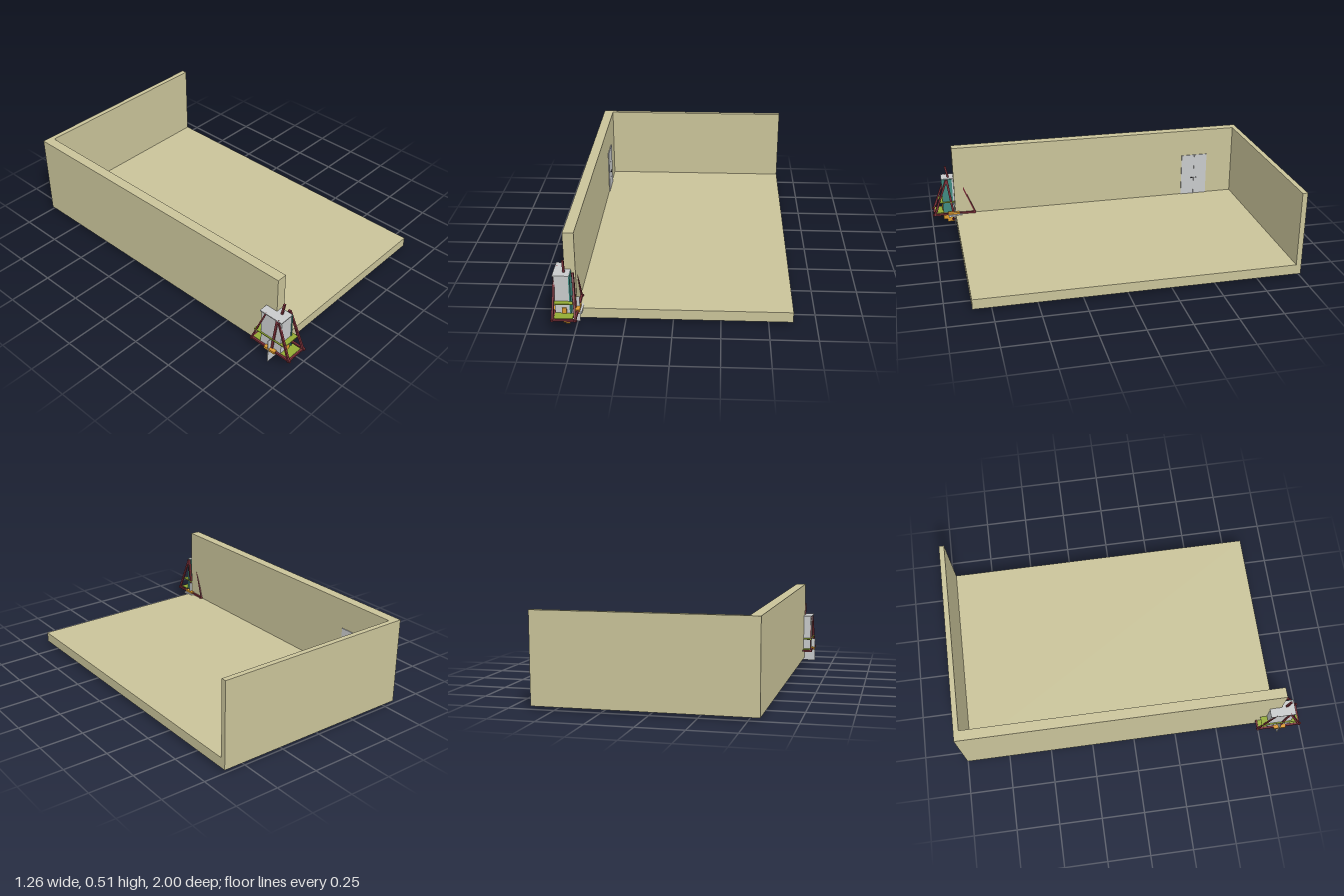
import * as THREE from 'three';

const mat = (name, color, extra = {}) => Object.assign(new THREE.MeshStandardMaterial({ color, ...extra }), { name });

export function createModel() {
  const model = new THREE.Group();
  model.name = 'roomCornerWithRig';
  const plaster = mat('sand plaster', 0xc9c399);
  const grey = mat('light grey', 0xc8cacb);
  const dark = mat('dark trim', 0x2c2c30);
  const maroon = mat('maroon steel', 0x7a2f38);
  const teal = mat('teal panel', 0x3f8a80);
  const green = mat('olive green', 0x93ab35);
  const orange = mat('orange', 0xdc9a2e);

  // Box given by its limits on each axis
  const block = (name, m, [x0, x1], [y0, y1], [z0, z1], parent = model) => {
    const mesh = new THREE.Mesh(new THREE.BoxGeometry(x1 - x0, y1 - y0, z1 - z0), m);
    mesh.position.set((x0 + x1) / 2, (y0 + y1) / 2, (z0 + z1) / 2);
    mesh.name = name;
    parent.add(mesh);
    return mesh;
  };
  // Square bar between two points
  const bar = (name, m, a, b, w, parent) => {
    const p = new THREE.Vector3(...a), q = new THREE.Vector3(...b);
    const mesh = new THREE.Mesh(new THREE.BoxGeometry(w, w, p.distanceTo(q)), m);
    mesh.position.copy(p).add(q).multiplyScalar(0.5);
    mesh.lookAt(q);
    mesh.name = name;
    parent.add(mesh);
    return mesh;
  };

  // Room: side wall and floor profile run along z, closed by the back wall
  const profile = new THREE.Shape([
    [-0.56, 0.017], [0.627, 0.017], [0.627, 0.075], [-0.502, 0.075], [-0.502, 0.513], [-0.56, 0.513],
  ].map(([x, y]) => new THREE.Vector2(x, y)));
  const shell = new THREE.Mesh(new THREE.ExtrudeGeometry(profile, { depth: 1.825, bevelEnabled: false }), plaster);
  shell.position.z = -0.97;
  shell.name = 'floorAndSideWall';
  model.add(shell);
  block('backWall', plaster, [-0.56, 0.627], [0.017, 0.513], [-1, -0.97]);

  // Double door on the inner face of the side wall
  const door = new THREE.Group();
  door.name = 'door';
  model.add(door);
  for (const s of [-1, 1]) {
    const z = -0.715 + s * 0.0425;
    block('doorLeaf', grey, [-0.502, -0.497], [0.075, 0.345], [z - 0.042, z + 0.042], door);
    const h = -0.715 + s * 0.013;
    block('doorHandle', dark, [-0.497, -0.491], [0.185, 0.189], [h - 0.006, h + 0.006], door);
  }

  // Rig at the open end of the side wall
  const rig = new THREE.Group();
  rig.name = 'rig';
  model.add(rig);
  block('cabinet', grey, [-0.605, -0.529], [0.08, 0.303], [0.79, 0.926], rig);
  block('cabinetSidePanel', teal, [-0.529, -0.522], [0.08, 0.303], [0.865, 0.93], rig);
  block('cabinetLid', grey, [-0.612, -0.526], [0.3, 0.306], [0.785, 0.93], rig);
  bar('topMast', maroon, [-0.557, 0.3, 0.885], [-0.557, 0.38, 0.9], 0.011, rig);

  // Mirrored frame sides: base rail, sloping legs and upright
  for (const [xb, xt] of [[-0.612, -0.604], [-0.495, -0.51]]) {
    bar('baseRail', maroon, [xb, 0.08, 0.728], [xb, 0.08, 0.998], 0.011, rig);
    bar('frontLeg', maroon, [xb, 0.08, 0.985], [xt, 0.305, 0.9], 0.011, rig);
    bar('frontBrace', maroon, [xb, 0.1, 0.97], [xt, 0.2, 0.94], 0.006, rig);
    bar('rearLeg', maroon, [xb, 0.08, 0.732], [xt, 0.305, 0.822], 0.008, rig);
    bar('upright', maroon, [xt, 0.08, 0.868], [xt, 0.305, 0.897], 0.013, rig);
    block('railClamp', orange, [xb - 0.015, xb + 0.012], [0.076, 0.09], [0.83, 0.9], rig);
  }
  for (const z of [0.735, 0.865, 0.985])
    bar('crossRail', maroon, [-0.622, 0.079, z], [-0.485, 0.079, z], 0.01, rig);

  // Green decks either side of the cabinet, joined by edge strips
  block('frontDeck', green, [-0.608, -0.508], [0.152, 0.157], [0.926, 0.955], rig);
  block('rearDeck', green, [-0.608, -0.562], [0.152, 0.157], [0.75, 0.79], rig);
  block('deckEdge', green, [-0.615, -0.607], [0.152, 0.157], [0.75, 0.955], rig);
  block('deckEdge', green, [-0.513, -0.503], [0.152, 0.157], [0.857, 0.955], rig);
  block('lowerFrontDeck', green, [-0.606, -0.508], [0.082, 0.087], [0.926, 0.98], rig);
  block('lowerRearDeck', green, [-0.606, -0.562], [0.082, 0.087], [0.74, 0.79], rig);

  // Backing plate, footplate and orange drive unit
  block('backingPlate', grey, [-0.63, -0.487], [0, 0.147], [0.858, 0.862], rig);
  block('footPlate', grey, [-0.53, -0.472], [0.066, 0.078], [0.815, 0.9], rig);
  block('driveBlock', orange, [-0.565, -0.53], [0.03, 0.075], [0.864, 0.93], rig);
  block('driveFoot', orange, [-0.557, -0.535], [0.01, 0.03], [0.864, 0.905], rig);
  block('driveArm', maroon, [-0.55, -0.515], [0.024, 0.034], [0.862, 0.875], rig);
  block('frontBracket', orange, [-0.568, -0.545], [0.085, 0.12], [0.926, 0.934], rig);
  bar('driveStrut', maroon, [-0.515, 0.03, 0.87], [-0.51, 0.08, 0.87], 0.008, rig);
  bar('driveFootRail', maroon, [-0.545, 0.014, 0.82], [-0.545, 0.014, 0.905], 0.007, rig);
  return model;
}
